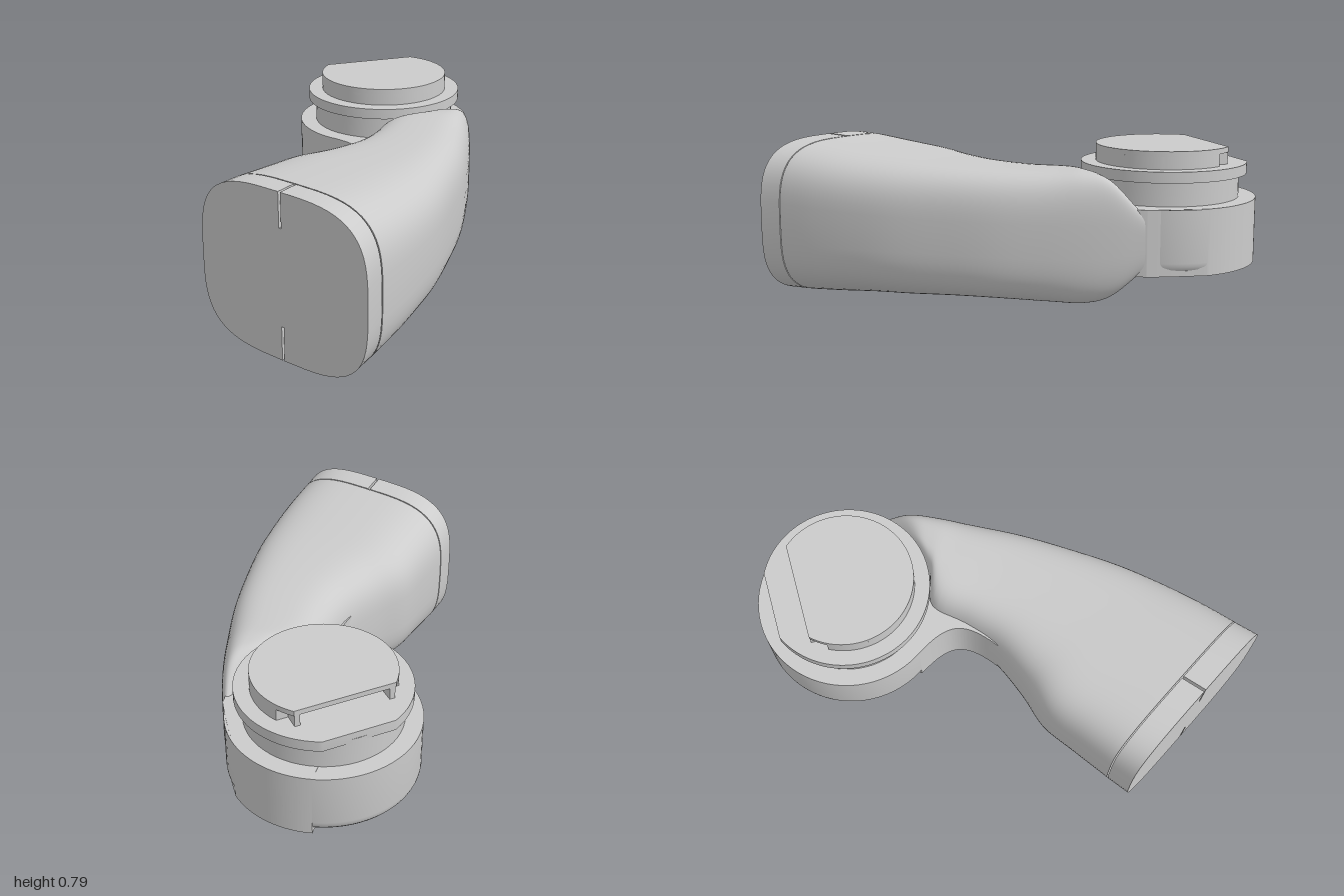
import * as THREE from 'three';
import { toCreasedNormals } from 'three/addons/utils/BufferGeometryUtils.js';

const HUB = { x: -0.36, z: -0.565 };
const CUT = Math.atan2(-0.53, -0.845); // direction of the flats on the round parts
const material = new THREE.MeshStandardMaterial({ color: 0xcccccc });

function part(name, geometry, crease = 0.6) {
  const mesh = new THREE.Mesh(toCreasedNormals(geometry, crease), material);
  mesh.name = name;
  return mesh;
}

// Plan outline (x, z) extruded between two heights
function slab(shape, y0, y1) {
  const g = new THREE.ExtrudeGeometry(shape, { depth: y1 - y0, bevelEnabled: false, curveSegments: 56 });
  return g.rotateX(Math.PI / 2).translate(0, y1, 0);
}

// Circle around the hub axis with one flat at distance d
function flattedDisc(r, d) {
  const h = Math.acos(d / r);
  const s = new THREE.Shape();
  s.absarc(HUB.x, HUB.z, r, CUT + h, CUT - h + Math.PI * 2, false);
  s.closePath();
  return s;
}

// Point on a unit rounded square
function squircle(t, n = 3.4) {
  const f = (v) => Math.sign(v) * Math.pow(Math.abs(v), 2 / n);
  return [f(Math.cos(t)), f(Math.sin(t))];
}

// Curved arm: rounded-square rings spanning an inner and an outer edge
function armGeometry() {
  // inner x, inner z, outer x, outer z, bottom, top
  const stations = [
    [-0.135, 0.88, 0.77, 0.88, 0.006, 0.764],
    [-0.147, 0.68, 0.74, 0.69, 0.025, 0.745],
    [-0.155, 0.49, 0.695, 0.49, 0.045, 0.727],
    [-0.105, 0.31, 0.635, 0.29, 0.06, 0.712],
    [-0.07, 0.1, 0.545, 0.07, 0.075, 0.7],
    [-0.09, -0.07, 0.44, -0.16, 0.08, 0.693],
    [-0.13, -0.24, 0.32, -0.37, 0.078, 0.693],
    [-0.04, -0.34, 0.22, -0.53, 0.085, 0.692],
    [0.01, -0.44, 0.135, -0.65, 0.125, 0.665],
    [0.03, -0.57, 0.055, -0.75, 0.235, 0.54],
  ];
  const curve = (pts) => new THREE.CatmullRomCurve3(pts, false, 'catmullrom', 0.5);
  const inner = curve(stations.map((s) => new THREE.Vector3(s[0], s[4], s[1])));
  const outer = curve(stations.map((s) => new THREE.Vector3(s[2], s[5], s[3])));
  const rings = 45, sides = 64, pos = [], idx = [];
  for (let i = 0; i <= rings; i++) {
    const a = inner.getPoint(i / rings), b = outer.getPoint(i / rings);
    const c = a.clone().add(b).multiplyScalar(0.5), h = b.clone().sub(c);
    for (let j = 0; j < sides; j++) {
      const [u, v] = squircle((j / sides) * Math.PI * 2);
      pos.push(c.x + h.x * u, c.y + h.y * v, c.z + h.z * u);
    }
  }
  for (let i = 0; i < rings; i++) {
    for (let j = 0; j < sides; j++) {
      const k = (j + 1) % sides;
      const a = i * sides + j, b = i * sides + k;
      idx.push(a, a + sides, b, b, a + sides, b + sides);
    }
  }
  // end caps
  const last = rings * sides;
  for (let j = 1; j < sides - 1; j++) {
    idx.push(0, j, j + 1, last, last + j + 1, last + j);
  }
  const g = new THREE.BufferGeometry();
  g.setAttribute('position', new THREE.Float32BufferAttribute(pos, 3));
  g.setIndex(idx);
  return g;
}

// Front collar with a thin slit at top and bottom
function collarGeometry() {
  const pts = [], n = 64, w = 0.006, rx = 0.4575, ry = 0.385, depth = 0.114;
  for (let j = 0; j < n; j++) {
    const [u, v] = squircle((j / n) * Math.PI * 2);
    if (j === n / 4 || j === (3 * n) / 4) {
      const s = v > 0 ? 1 : -1;
      pts.push([w * s, ry * s], [w * s, 0.225 * s], [-w * s, 0.225 * s], [-w * s, ry * s]);
    } else pts.push([u * rx, v * ry]);
  }
  const shape = new THREE.Shape(pts.map((p) => new THREE.Vector2(...p)));
  const g = new THREE.ExtrudeGeometry(shape, { depth, bevelEnabled: false });
  // slight taper toward the arm
  const p = g.attributes.position;
  for (let i = 0; i < p.count; i++) {
    const back = 1 - p.getZ(i) / depth;
    p.setX(i, p.getX(i) * (1 - 0.011 * back) + 0.3325 - 0.015 * back);
    p.setY(i, p.getY(i) * (1 - 0.014 * back) + 0.385);
  }
  return g.translate(0, 0, 1 - depth);
}

export function createModel() {
  const model = new THREE.Group();
  model.name = 'curvedArmWithPivot';

  model.add(part('arm', armGeometry()));
  model.add(part('frontCollar', collarGeometry()));

  // Round hub with softened lower rim
  const profile = [new THREE.Vector2(0, 0.236)];
  for (let i = 0; i <= 6; i++) {
    const t = (i / 6) * Math.PI / 2;
    profile.push(new THREE.Vector2(0.375 + 0.06 * Math.sin(t), 0.296 - 0.06 * Math.cos(t)));
  }
  profile.push(new THREE.Vector2(0.435, 0.539), new THREE.Vector2(0, 0.539));
  const hub = part('hub', new THREE.LatheGeometry(profile, 72));
  hub.position.set(HUB.x, 0, HUB.z);
  model.add(hub);

  // Web blending hub into arm, including the square-edged back of the hub
  const web = new THREE.Shape();
  web.moveTo(HUB.x, HUB.z);
  web.absarc(HUB.x, HUB.z, 0.435, Math.atan2(-0.9, -0.46), Math.atan2(-0.37, 0.2), false);
  web.quadraticCurveTo(-0.04, -0.85, 0.05, -0.752);
  web.lineTo(0.15, -0.5);
  web.lineTo(0.1, 0.05);
  web.lineTo(-0.065, 0.12);
  web.bezierCurveTo(-0.08, -0.1, -0.15, -0.13, -0.34, -0.131);
  web.closePath();
  model.add(part('hubWeb', slab(web, 0.235, 0.54)));

  const bottomDisc = part('bottomDisc', new THREE.CylinderGeometry(0.23, 0.23, 0.02, 56));
  bottomDisc.position.set(HUB.x, 0.242, HUB.z);
  model.add(bottomDisc);

  // Neck and flange
  const neck = part('neck', new THREE.CylinderGeometry(0.355, 0.355, 0.14, 64));
  neck.position.set(HUB.x, 0.6, HUB.z);
  model.add(neck);
  model.add(part('flange', slab(flattedDisc(0.39, 0.353), 0.652, 0.703)));

  // Top disc: thin plate over a body set back behind its flat
  model.add(part('topPlate', slab(flattedDisc(0.32, 0.22), 0.76, 0.785)));
  model.add(part('topDiscBody', slab(flattedDisc(0.32, 0.15), 0.7, 0.761)));
  for (const side of [-1, 1]) {
    const post = part('topPlatePost', new THREE.BoxGeometry(0.07, 0.06, 0.025));
    const d = 0.184, e = side * 0.217;
    post.position.set(
      HUB.x + Math.cos(CUT) * d - Math.sin(CUT) * e, 0.731,
      HUB.z + Math.sin(CUT) * d + Math.cos(CUT) * e);
    post.rotation.y = -CUT;
    model.add(post);
  }
  return model;
}
